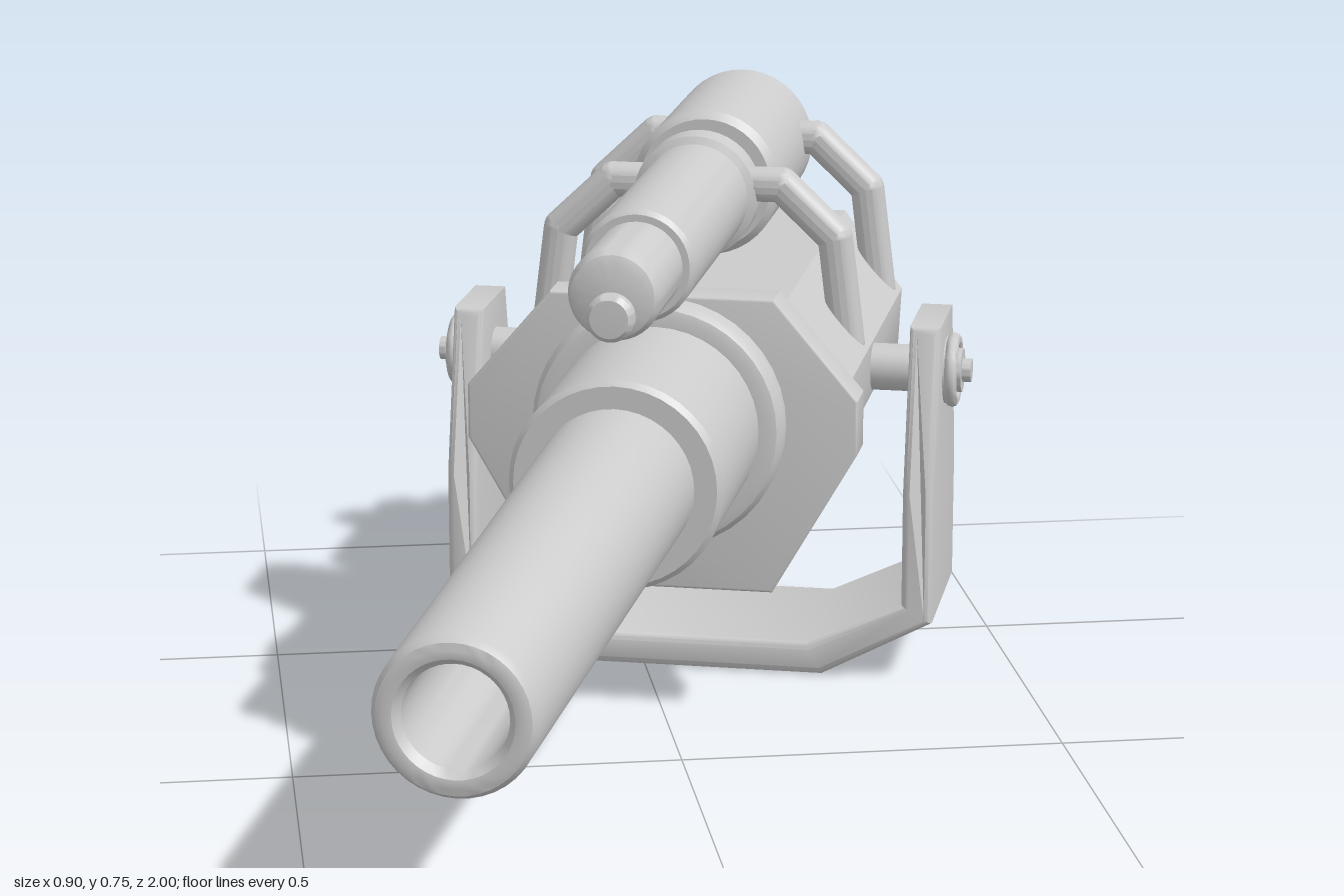
import * as THREE from 'three';
import { toCreasedNormals } from 'three/addons/utils/BufferGeometryUtils.js';

const material = new THREE.MeshStandardMaterial({ color: 0xcccccc });
const AXIS = 0.405; // height of the bore and trunnions
const SIGHT = 0.648; // height of the sight tube

export function createModel() {
  const model = new THREE.Group();
  // The whole gun is swung to one side about its trunnions
  const gun = new THREE.Group();
  gun.name = 'gun';
  gun.rotation.y = -0.304;
  gun.position.set(0.095, 0, -0.495);
  model.add(gun);

  const add = (name, geometry, crease = 0.6) => {
    const mesh = new THREE.Mesh(toCreasedNormals(geometry, crease), material);
    mesh.name = name;
    gun.add(mesh);
    return mesh;
  };

  // Turned part: [radius, distance along the gun], from back to front
  const turned = (name, y, profile) => {
    const points = profile.map(([r, z]) => new THREE.Vector2(r, z));
    return add(name, new THREE.LatheGeometry(points, 40).rotateX(Math.PI / 2).translate(0, y, 0));
  };

  const polygon = (points) => new THREE.Shape(points.map(([x, y]) => new THREE.Vector2(x, y)));
  const mirrored = (half) => [...half, ...half.map(([x, y]) => [-x, y]).reverse()];
  const extrude = (shape, depth, bevel = 0) => new THREE.ExtrudeGeometry(shape, {
    depth: depth - 2 * bevel, bevelEnabled: bevel > 0, bevelSize: bevel,
    bevelThickness: bevel, bevelOffset: -bevel, bevelSegments: 3,
  });

  // Barrel with open bore, sleeve and collar
  turned('barrel', AXIS, [[0.1, 0.6], [0.09, 1.525], [0.084, 1.535], [0.076, 1.538],
    [0.066, 1.536], [0.058, 1.525], [0.056, 1.25], [0, 1.25]]);
  turned('barrelSleeve', AXIS, [[0.135, 0.3], [0.135, 0.642], [0.128, 0.65], [0.09, 0.65]]);
  turned('barrelCollar', AXIS, [[0.165, 0.32], [0.165, 0.356], [0.158, 0.367], [0.148, 0.37], [0.13, 0.37]]);

  // Flat eight-sided flange at the front of the receiver
  const flange = mirrored([[0.147, 0.177], [0.258, 0.37], [0.258, 0.442], [0.147, 0.572]]);
  add('frontFlange', extrude(polygon(flange), 0.06, 0.004).translate(0, 0, 0.274));

  // Receiver: eight-sided shell, its rear end cut at a slant
  const section = mirrored([[0.137, 0.205], [0.235, 0.37], [0.235, 0.442], [0.145, 0.542]]);
  const inset = section.map(([x, y]) => [x * 0.87, 0.375 + (y - 0.375) * 0.87]);
  const slanted = (geometry, front, recess) => {
    const p = geometry.attributes.position;
    for (let i = 0; i < p.count; i++) {
      const rear = -0.19 - (p.getY(i) - 0.205) * 0.5 + recess;
      p.setZ(i, p.getZ(i) > 0.5 ? front : rear);
    }
    geometry.computeVertexNormals();
    return geometry;
  };
  const shell = polygon(section);
  shell.holes.push(new THREE.Path(inset.map(([x, y]) => new THREE.Vector2(x, y))));
  add('receiverShell', slanted(extrude(shell, 1), 0.28, 0));
  add('receiverCore', slanted(extrude(polygon(inset), 1), 0.27, 0.035));

  // Breech block and rear knob
  turned('breech', AXIS, [[0, -0.47], [0.072, -0.47], [0.083, -0.455], [0.083, -0.15]]);
  turned('breechKnob', AXIS, [[0, -0.522], [0.035, -0.522], [0.046, -0.51], [0.046, -0.46]]);

  // Chamfered guard plates either side of the breech
  const plate = polygon([[-0.2, 0.3], [-0.4, 0.27], [-0.465, 0.33], [-0.465, 0.48], [-0.44, 0.5], [-0.2, 0.5]]);
  for (const side of [-1, 1]) {
    add('breechGuard', extrude(plate, 0.06, 0.006).rotateY(-Math.PI / 2)
      .translate(0.024 + side * 0.128, 0, 0));
  }

  // Stepped sight tube above the receiver
  turned('sightRear', SIGHT, [[0, -0.29], [0.068, -0.29], [0.072, -0.335], [0.09, -0.342], [0.1, -0.33],
    [0.1, -0.02], [0.09, -0.008], [0.07, -0.008], [0.07, 0.03], [0.083, 0.03], [0.083, 0.075], [0.073, 0.08],
    [0.073, 0.49], [0.067, 0.497], [0.05, 0.497]]);
  turned('sightFront', SIGHT, [[0.058, 0.48], [0.058, 0.645], [0.052, 0.66], [0.04, 0.665], [0, 0.665]]);
  turned('sightTip', SIGHT - 0.023, [[0.03, 0.65], [0.03, 0.677], [0.024, 0.684], [0, 0.685]]);
  turned('sightEyepiece', SIGHT, [[0, -0.397], [0.032, -0.397], [0.043, -0.385], [0.045, -0.28]]);

  // Bent round brackets holding the sight, two on each side
  const rod = (name, points, r) => {
    points.forEach((p, i) => {
      add(name, new THREE.SphereGeometry(r, 16, 12).translate(p.x, p.y, p.z));
      if (i === 0) return;
      const step = p.clone().sub(points[i - 1]);
      const piece = add(name, new THREE.CylinderGeometry(r, r, step.length(), 16, 1, true));
      piece.position.copy(points[i - 1]).addScaledVector(step, 0.5);
      piece.quaternion.setFromUnitVectors(new THREE.Vector3(0, 1, 0), step.normalize());
    });
  };
  for (const z of [0.052, -0.275]) {
    for (const side of [-1, 1]) {
      const path = [[0.06, 0.664], [0.115, 0.664], [0.188, 0.595], [0.206, 0.45]];
      rod('sightBracket', path.map(([x, y]) => new THREE.Vector3(side * x, y, z)), 0.024);
    }
  }

  // U-shaped yoke, its arms narrowing towards the top
  const yokeHalf = [[0.165, 0.045], [0.293, 0.105], [0.293, 0.26], [0.293, 0.48],
    [0.335, 0.48], [0.335, 0.26], [0.335, 0.08], [0.185, 0]];
  const yoke = extrude(polygon(mirrored(yokeHalf)), 0.26, 0.01).translate(0, 0, -0.12);
  const p = yoke.attributes.position;
  for (let i = 0; i < p.count; i++) {
    const t = THREE.MathUtils.clamp((p.getY(i) - 0.26) / 0.22, 0, 1);
    p.setZ(i, p.getZ(i) * (1 - 0.46 * t));
  }
  yoke.computeVertexNormals();
  add('yoke', yoke);

  // Trunnion shafts with stepped caps outside the yoke
  for (const side of [-1, 1]) {
    const disc = (name, r, from, to) => add(name, new THREE.CylinderGeometry(r, r, to - from, 28)
      .rotateZ(Math.PI / 2).translate(side * (from + to) / 2, AXIS, 0));
    disc('trunnion', 0.032, 0.2, 0.345);
    disc('trunnionWasher', 0.046, 0.33, 0.347);
    disc('trunnionCap', 0.03, 0.345, 0.358);
    disc('trunnionPin', 0.016, 0.355, 0.37);
    add('trunnionRing', new THREE.TorusGeometry(0.042, 0.009, 10, 32)
      .rotateY(Math.PI / 2).translate(side * 0.345, AXIS, 0), 1);
  }
  return model;
}
